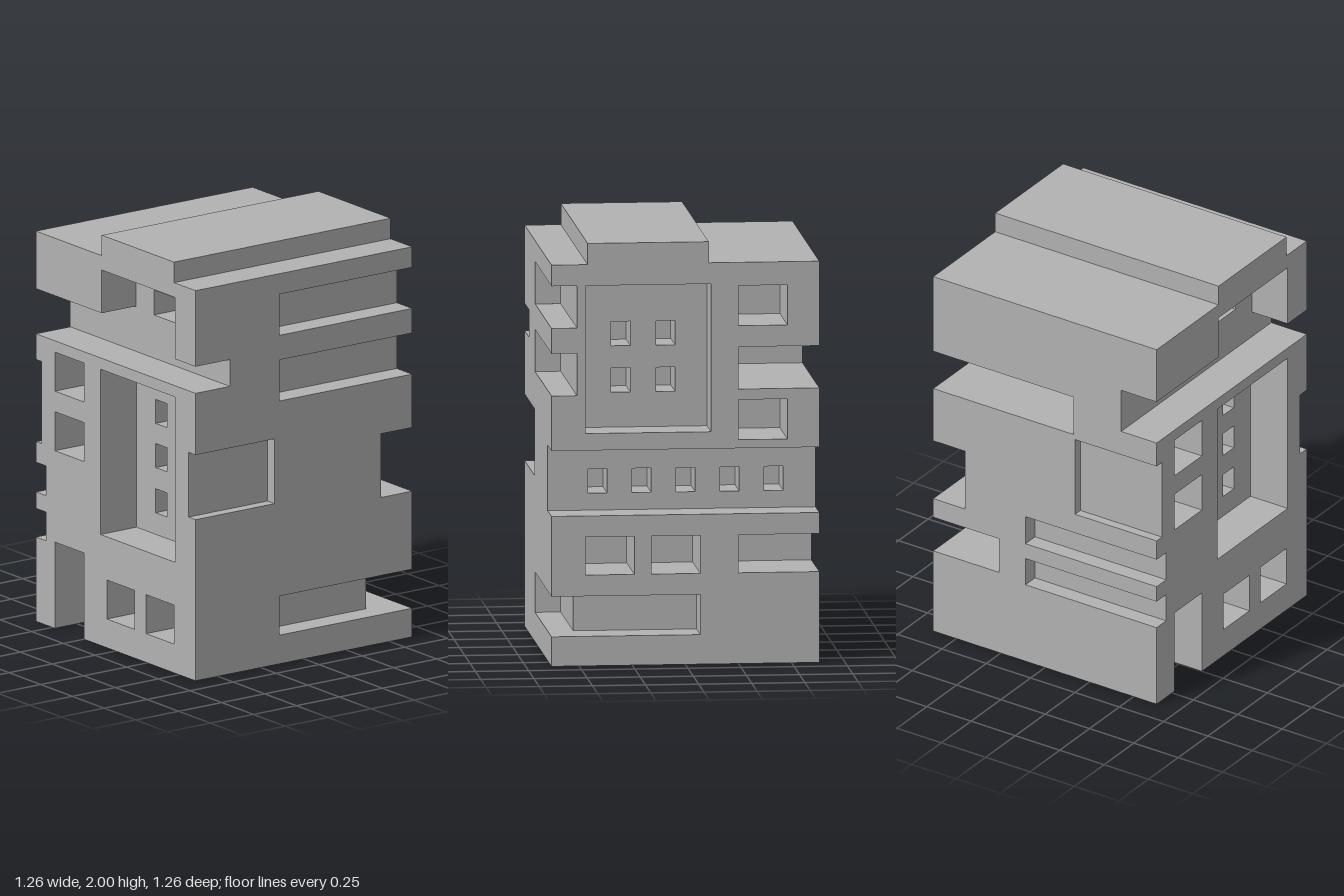
import * as THREE from 'three';

const E = 0.63;               // half width and half depth
const TOP = 1.9;              // shoulder height
const BLOCK = [[-E, E], [0, TOP], [-E, E]];

// Every cut is a box: [x0, x1, y0, y1, z0, z1]
function listCuts() {
  const cuts = [];
  const cut = (...box) => cuts.push(box);
  const smallColumns = [[0.03, 0.12], [0.24, 0.33]];

  // Front: stepped terrace below the roof, with a wide window behind it
  cut(-E, E, 1.4, 1.53, 0.43, E);
  cut(-E, -0.11, 1.53, 1.62, 0.43, E);
  cut(-0.11, 0.47, 1.53, 1.83, 0.43, E);
  cut(0.03, 0.33, 1.61, 1.73, 0.15, 0.43);

  // Front: windows, doorway and paired ground floor windows
  cut(-0.48, -0.25, 1.155, 1.345, 0.27, E);
  cut(-0.48, -0.25, 0.865, 1.055, 0.27, E);
  cut(-0.48, -0.25, 0, 0.42, 0.28, E);
  cut(-0.07, 0.15, 0.14, 0.33, 0.27, E);
  cut(0.24, 0.46, 0.14, 0.33, 0.27, E);

  // Front: sunken panel with three rows of small windows
  cut(-0.12, 0.47, 0.54, 1.345, 0.42, E);
  for (const y of [0.645, 0.865, 1.08])
    for (const [a, b] of smallColumns) cut(a, b, y, y + 0.117, 0.22, 0.42);

  // Left side: long slots running out to the back, and a shallow front panel
  for (const [a, b] of [[1.6, 1.8], [1.28, 1.48], [0.14, 0.33]])
    cut(0.51, E, a, b, -E, 0.14);
  cut(0.575, E, 0.785, 1.1, 0.17, E);

  // Right side: shallow panel and two slots running out to the front
  cut(-E, -0.585, 0.875, 1.275, 0.17, E);
  cut(-E, -0.55, 0.63, 0.775, -0.11, E);
  cut(-E, -0.55, 0.41, 0.55, -0.11, E);

  // Back right: open corner balconies and windows
  cut(-E, -0.25, 1.3, 1.5, -E, 0.16);
  cut(-E, -0.25, 0.43, 0.61, -E, -0.26);
  cut(-0.48, -0.25, 1.6, 1.79, -E, -0.27);
  cut(-0.48, -0.25, 1.06, 1.25, -E, -0.27);

  // Back: sunken panel with four small windows
  cut(-0.12, 0.47, 1.1, 1.8, -E, -0.44);
  for (const y of [1.265, 1.485])
    for (const [a, b] of smallColumns) cut(a, b, y, y + 0.115, -0.44, -0.24);

  // Back: full width groove with a row of five small windows
  cut(-E, E, 0.71, 1.02, -E, -0.45);
  for (let i = 0; i < 5; i++) {
    const x = 0.35 - 0.207 * i;
    cut(x, x + 0.09, 0.79, 0.905, -0.45, -0.25);
  }

  // Back: paired windows and the low slot that turns the corner
  cut(0.24, 0.47, 0.43, 0.61, -E, -0.27);
  cut(-0.07, 0.16, 0.43, 0.61, -E, -0.27);
  cut(-0.07, E, 0.14, 0.33, -E, -0.45);
  return cuts;
}

// Surface of a block with box-shaped cuts: cells between the cut planes are
// solid or empty, and a face is made wherever solid meets empty.
function carvedGeometry(block, cuts) {
  const planes = block.map((range, a) => {
    const values = [...range, ...cuts.flatMap((c) => [c[2 * a], c[2 * a + 1]])];
    return [...new Set(values.map((v) => +v.toFixed(4)))].sort((p, q) => p - q);
  });
  const solid = (cell) => {
    if (cell.some((i, a) => i < 0 || i >= planes[a].length - 1)) return false;
    const mid = cell.map((i, a) => (planes[a][i] + planes[a][i + 1]) / 2);
    return !cuts.some((c) => mid.every((m, a) => m > c[2 * a] && m < c[2 * a + 1]));
  };
  const positions = [];
  for (let a = 0; a < 3; a++) {
    const b = (a + 1) % 3, c = (a + 2) % 3;
    for (const side of [-1, 1])
      for (let i = 0; i < planes[a].length - 1; i++)
        for (let j = 0; j < planes[b].length - 1; j++) {
          const exposed = (k) => {
            const cell = [];
            cell[a] = i; cell[b] = j; cell[c] = k;
            if (!solid(cell)) return false;
            cell[a] += side;
            return !solid(cell);
          };
          for (let k = 0; k < planes[c].length - 1; k++) {
            if (!exposed(k)) continue;
            // Join neighbouring faces into one strip
            const start = k;
            while (exposed(k + 1)) k++;
            const corner = (dj, kk) => {
              const p = [];
              p[a] = planes[a][side > 0 ? i + 1 : i];
              p[b] = planes[b][j + dj];
              p[c] = planes[c][kk];
              return p;
            };
            const q = [corner(0, start), corner(1, start), corner(1, k + 1), corner(0, k + 1)];
            if (side < 0) q.reverse();
            for (const n of [0, 1, 2, 0, 2, 3]) positions.push(...q[n]);
          }
        }
  }
  const geometry = new THREE.BufferGeometry();
  geometry.setAttribute('position', new THREE.Float32BufferAttribute(positions, 3));
  geometry.computeVertexNormals();
  return geometry;
}

export function createModel() {
  const group = new THREE.Group();
  group.name = 'buildingBlock';
  const concrete = new THREE.MeshStandardMaterial({ color: 0xb2b2b2 });
  concrete.name = 'concrete grey';

  // Main body with all recesses
  const body = new THREE.Mesh(carvedGeometry(BLOCK, listCuts()), concrete);
  body.name = 'carvedBody';
  group.add(body);

  // Raised band along the roof
  const ridge = new THREE.Mesh(new THREE.BoxGeometry(0.57, 0.1, 2 * E), concrete);
  ridge.name = 'roofBand';
  ridge.position.set(0.175, TOP + 0.05, 0);
  group.add(ridge);

  return group;
}
